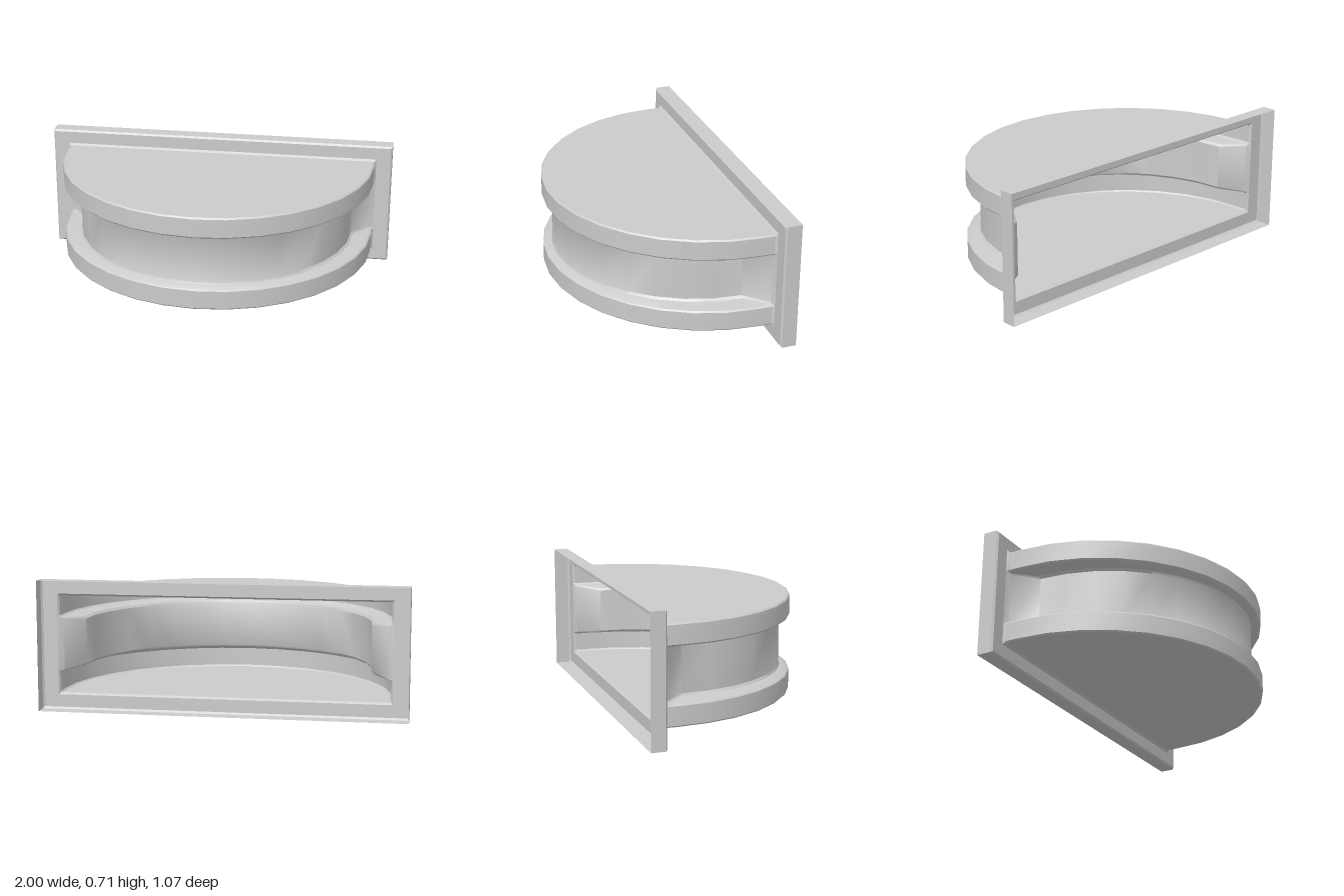
import * as THREE from 'three';
import { toCreasedNormals } from 'three/addons/utils/BufferGeometryUtils.js';

const MID = 0.357;    // half the height
const BACK = -0.45;   // where the bowl meets the mounting frame
const material = new THREE.MeshStandardMaterial({ color: 0xcccccc, side: THREE.DoubleSide });

// Sheet surface through rows of [x, y, z] points
function sheet(name, rows) {
  const n = rows[0].length, index = [];
  for (let r = 0; r < rows.length - 1; r++)
    for (let c = 0; c < n - 1; c++) {
      const a = r * n + c, d = a + n;
      index.push(a, d, a + 1, a + 1, d, d + 1);
    }
  const geometry = new THREE.BufferGeometry();
  geometry.setAttribute('position', new THREE.Float32BufferAttribute(rows.flat(2), 3));
  geometry.setIndex(index);
  const mesh = new THREE.Mesh(toCreasedNormals(geometry, 0.6), material);
  mesh.name = name;
  return mesh;
}

// Half-round outline from -x to +x: h is height above the middle,
// h0 and h1 are the heights at the frame and just in front of it
function outline(radius, centreZ, h, h0 = h, h1 = h, x1 = radius) {
  const points = [[-0.91, MID + h0, BACK], [-x1, MID + h1, BACK + 0.013]];
  for (let i = 0; i <= 16; i++) {
    const a = (i / 16) * Math.PI;
    points.push([-radius * Math.cos(a), MID + h, centreZ + radius * Math.sin(a)]);
  }
  points.push([x1, MID + h1, BACK + 0.013], [0.91, MID + h0, BACK]);
  return points;
}

// Flat half-disc closing an outline
function cap(name, ring, flip) {
  const rows = [];
  for (let i = 0; i <= (ring.length - 1) / 2; i++) {
    const pair = [ring[i], ring[ring.length - 1 - i]];
    rows.push(flip ? pair.reverse() : pair);
  }
  return sheet(name, rows);
}

// Closed rectangular loop, clockwise from the front
function rectangle(x, h, z) {
  return [[-x, MID + h, z], [x, MID + h, z], [x, MID - h, z], [-x, MID - h, z], [-x, MID + h, z]];
}

export function createModel() {
  const group = new THREE.Group();
  group.name = 'halfRoundHousing';

  // Upper half of the wall: rim, sloping ledge, recessed band
  const half = (s) => [
    outline(0.892, -0.37, s * 0.268, s * 0.278, s * 0.268),
    outline(0.9, -0.37, s * 0.26, s * 0.278, s * 0.26),
    outline(0.9, -0.37, s * 0.158),
    outline(0.892, -0.37, s * 0.15),
    outline(0.8, -0.316, s * 0.138, s * 0.15, s * 0.147, 0.885),
    outline(0.787, -0.31, s * 0.125, s * 0.145, s * 0.14, 0.88),
  ];
  const upper = half(1), lower = half(-1);
  group.add(sheet('groovedWall', [...upper, ...lower.slice().reverse()]));
  group.add(cap('topPanel', upper[0], false));
  group.add(cap('bottomPanel', lower[0], true));

  // Mounting frame, open at the back
  group.add(sheet('mountingFrame', [
    rectangle(1, MID, -0.54),
    rectangle(1, MID, BACK - 0.01),
    rectangle(0.99, MID - 0.01, BACK),
    rectangle(0.91, 0.278, BACK),
  ]));
  return group;
}
